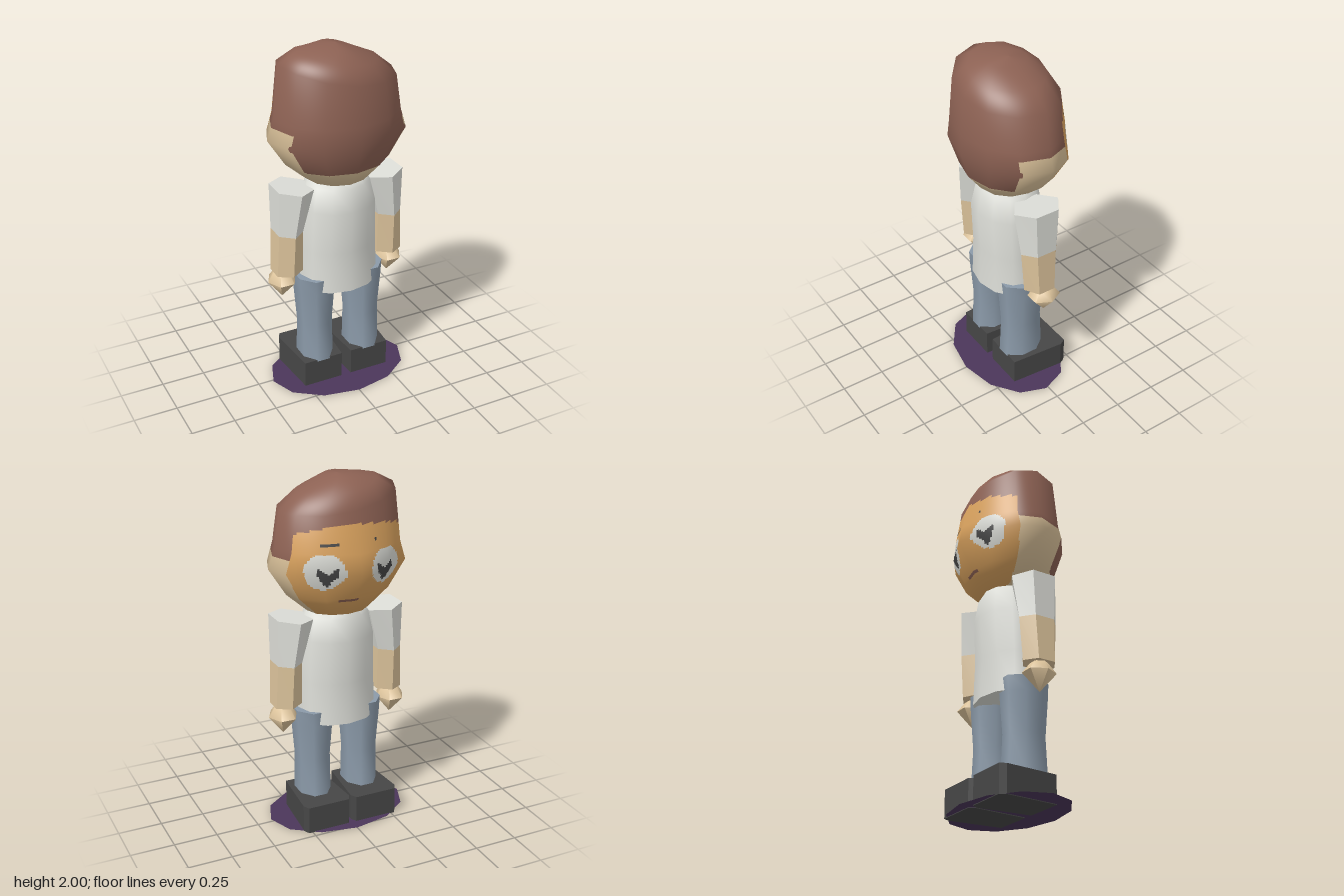
import * as THREE from 'three';
import { toCreasedNormals } from 'three/addons/utils/BufferGeometryUtils.js';

const mat = (name, color) => {
  const m = new THREE.MeshStandardMaterial({ color });
  m.name = name;
  return m;
};

// A ring of points; tilt slopes it along x, lift raises its two x ends
function ring({ x = 0, y, z = 0, rx, rz = rx, front = rz, nose = 0, tilt = 0, lift = 0 }, sides, phase) {
  const points = [];
  for (let j = 0; j < sides; j++) {
    const a = phase + (j / sides) * Math.PI * 2;
    const c = Math.cos(a), s = Math.sin(a);
    const tip = s < -0.99 ? nose : 0;
    points.push(new THREE.Vector3(x + rx * c, y + tilt * rx * c + lift * c * c, z + (s > 0 ? rz : front) * s - tip));
  }
  return points;
}

// Skin between rings, listed from bottom to top
function loft(rings, sides, phase = 0) {
  const pos = [], index = [];
  rings.forEach(r => ring(r, sides, phase).forEach(p => pos.push(p.x, p.y, p.z)));
  for (let i = 0; i < rings.length - 1; i++) {
    for (let j = 0; j < sides; j++) {
      const a = i * sides + j, d = i * sides + (j + 1) % sides;
      const b = a + sides, c = d + sides;
      if (rings[i + 1].rx > 0) index.push(a, b, c);
      if (rings[i].rx > 0) index.push(a, c, d);
      if (rings[i + 1].rx === 0) index.push(a, b, d);
    }
  }
  const g = new THREE.BufferGeometry();
  g.setAttribute('position', new THREE.Float32BufferAttribute(pos, 3));
  g.setIndex(index);
  g.computeVertexNormals();
  return g;
}

const cap = r => ({ ...r, rx: 0, rz: 0, front: 0, nose: 0 });

// Head material by place: 0 hair, 1 side skin, 2 face, 3 eye white, 4 dark
function headColour(p) {
  const clamp = THREE.MathUtils.clamp;
  const ax = Math.abs(p.x);
  const hairline = 1.73 + 0.05 * clamp((-p.z - 0.12) / 0.13, 0, 1);
  const cheek = -0.12 + 0.05 * clamp((1.5 - p.y) / 0.24, 0, 1);
  if (p.z < cheek && p.y < hairline) {
    const u = (ax - 0.175) / 0.1, v = (p.y - 1.535) / 0.1;
    const pu = Math.abs(ax - 0.165), pv = p.y - 1.45;
    if (pv > 0 && pu < 0.052 && pu < pv * 0.75 && pv < 0.075 + pu * 0.7) return 4;
    if (u * u + v * v < 1) return 3;
    if (Math.abs(p.y - 1.683) < 0.006 && ax > 0.1 && ax < 0.2) return 4;
    if (Math.abs(p.y - 1.36) < 0.009 && p.x > -0.03 && p.x < 0.08) return 0;
    return 2;
  }
  if (p.y > 1.59) return 0;
  return p.z > 0.14 + 0.08 * (p.y - 1.36) && p.y > 1.36 ? 0 : 1;
}

// Subdivides the head's panels and sorts the small cells by colour
function paintedHead(rings, sides, n, materials) {
  const coarse = loft(rings, sides);
  const P = coarse.attributes.position, N = coarse.attributes.normal;
  const sets = materials.map(() => ({ pos: [], nor: [] }));
  const at = (attr, ids, u, v) => {
    const q = ids.map(k => new THREE.Vector3().fromBufferAttribute(attr, k));
    return q[0].lerp(q[3], u).lerp(q[1].lerp(q[2], u), v);
  };
  for (let i = 0; i < rings.length - 1; i++) for (let j = 0; j < sides; j++) {
    const a = i * sides + j, d = i * sides + (j + 1) % sides;
    const ids = [a, a + sides, d + sides, d];
    // Pole points have no good normal of their own everywhere
    for (let s = 0; s < n; s++) for (let t = 0; t < n; t++) {
      const set = sets[headColour(at(P, ids, (s + 0.5) / n, (t + 0.5) / n))];
      for (const [du, dv] of [[0, 0], [0, 1], [1, 1], [0, 0], [1, 1], [1, 0]]) {
        const u = (s + du) / n, v = (t + dv) / n;
        set.pos.push(...at(P, ids, u, v).toArray());
        set.nor.push(...at(N, ids, u, v).normalize().toArray());
      }
    }
  }
  const g = new THREE.BufferGeometry();
  let start = 0;
  sets.forEach((s, k) => {
    g.addGroup(start, s.pos.length / 3, k);
    start += s.pos.length / 3;
  });
  g.setAttribute('position', new THREE.Float32BufferAttribute(sets.flatMap(s => s.pos), 3));
  g.setAttribute('normal', new THREE.Float32BufferAttribute(sets.flatMap(s => s.nor), 3));
  return new THREE.Mesh(g, materials);
}

export function createModel() {
  const model = new THREE.Group();
  const hair = mat('hair brown', 0x8c6153);
  const skin = mat('skin', 0xdcc39b);
  const face = mat('face orange', 0xd9a25e);
  const white = mat('shirt white', 0xddded8);
  const denim = mat('denim blue', 0x8b9aa9);
  const dark = mat('shoe grey', 0x464646);
  const purple = mat('base purple', 0x4b365a);
  purple.side = THREE.DoubleSide;

  const add = (name, geometry, material, crease = 0.8) => {
    const mesh = new THREE.Mesh(toCreasedNormals(geometry, crease), material);
    mesh.name = name;
    model.add(mesh);
  };

  // Head with swept hair, face and pointed nose
  const sweep = -0.15;
  const head = paintedHead([
    { y: 1.255, rx: 0, rz: 0 },
    { y: 1.26, rx: 0.18, rz: 0.18, front: 0.15 },
    { y: 1.365, rx: 0.3, rz: 0.26, front: 0.215 },
    { y: 1.52, rx: 0.4, rz: 0.3, front: 0.268, nose: 0.045 },
    { y: 1.63, rx: 0.362, rz: 0.297, front: 0.265, nose: 0.022 },
    { y: 1.845, rx: 0.332, rz: 0.278, front: 0.235, tilt: sweep, lift: 0.03 },
    { y: 1.93, rx: 0.22, rz: 0.215, front: 0.185, tilt: sweep, lift: 0.02 },
    { y: 1.988, rx: 0.075, rz: 0.12, front: 0.1, tilt: sweep },
    { y: 2, rx: 0, rz: 0 },
  ], 12, 14, [hair, skin, face, white, dark]);
  head.name = 'head';
  model.add(head);

  // Shirt body
  const hem = { y: 0.61, z: 0.02, rx: 0.235, rz: 0.18 };
  const neck = { y: 1.265, z: 0.015, rx: 0.145, rz: 0.14 };
  add('shirt', loft([
    cap(hem), hem,
    { y: 0.85, z: 0.02, rx: 0.225, rz: 0.172 },
    { y: 1.1, z: 0.02, rx: 0.217, rz: 0.186 },
    { y: 1.23, z: 0.017, rx: 0.185, rz: 0.163 },
    neck, cap(neck),
  ], 12), white, 1.0);

  for (const side of [1, -1]) {
    const label = side > 0 ? 'left' : 'right';

    // Arm: sleeve, forearm and hand
    const shoulder = { x: side * 0.272, y: 1.235, z: 0.01, rx: 0.118, rz: 0.142, tilt: side * 0.1 };
    const cuff = { x: side * 0.304, y: 0.98, z: 0.01, rx: 0.082, rz: 0.118 };
    const wrist = { x: side * 0.31, y: 0.73, z: 0.01, rx: 0.088, rz: 0.1, tilt: side * -0.05 };
    add(label + 'Sleeve', loft([cuff, shoulder, cap(shoulder)], 6, Math.PI / 6), white);
    add(label + 'Forearm', loft([cap(wrist), wrist, cuff], 6, Math.PI / 6), skin);
    const hand = { x: side * 0.335, z: -0.005 };
    add(label + 'Hand', loft([
      { ...hand, y: 0.56, rx: 0 },
      { ...hand, y: 0.665, rx: 0.083, rz: 0.095 },
      { ...hand, y: 0.72, rx: 0.05 },
      { ...hand, y: 0.74, rx: 0 },
    ], 6), skin, 1.2);

    // Trouser leg
    const leg = (y, rx, rz) => ({ x: side * 0.148, y, z: 0.02, rx: rx / 0.924, rz: rz / 0.924 });
    const waist = leg(0.685, 0.11, 0.13);
    add(label + 'Leg', loft([
      leg(0.15, 0.093, 0.122), leg(0.38, 0.09, 0.111), leg(0.6, 0.106, 0.126), waist, cap(waist),
    ], 8, Math.PI / 8), denim, 1.0);

    // Shoe, wider towards the toes with clipped corners
    const outline = [[0.03, 0.14], [0.265, 0.14], [0.29, -0.175], [0.272, -0.212], [0.025, -0.212], [0.005, -0.175]];
    const sole = new THREE.Shape(outline.map(([x, z]) => new THREE.Vector2(side * x, -z)));
    const shoe = new THREE.ExtrudeGeometry(sole, { depth: 0.16, bevelEnabled: false });
    add(label + 'Shoe', shoe.rotateX(-Math.PI / 2), dark, 0.3);
  }

  // Thin oval base
  const base = new THREE.CircleGeometry(1, 12).rotateX(-Math.PI / 2).scale(0.414, 1, 0.295);
  add('base', base.translate(0, 0.004, 0.017), purple);
  return model;
}
